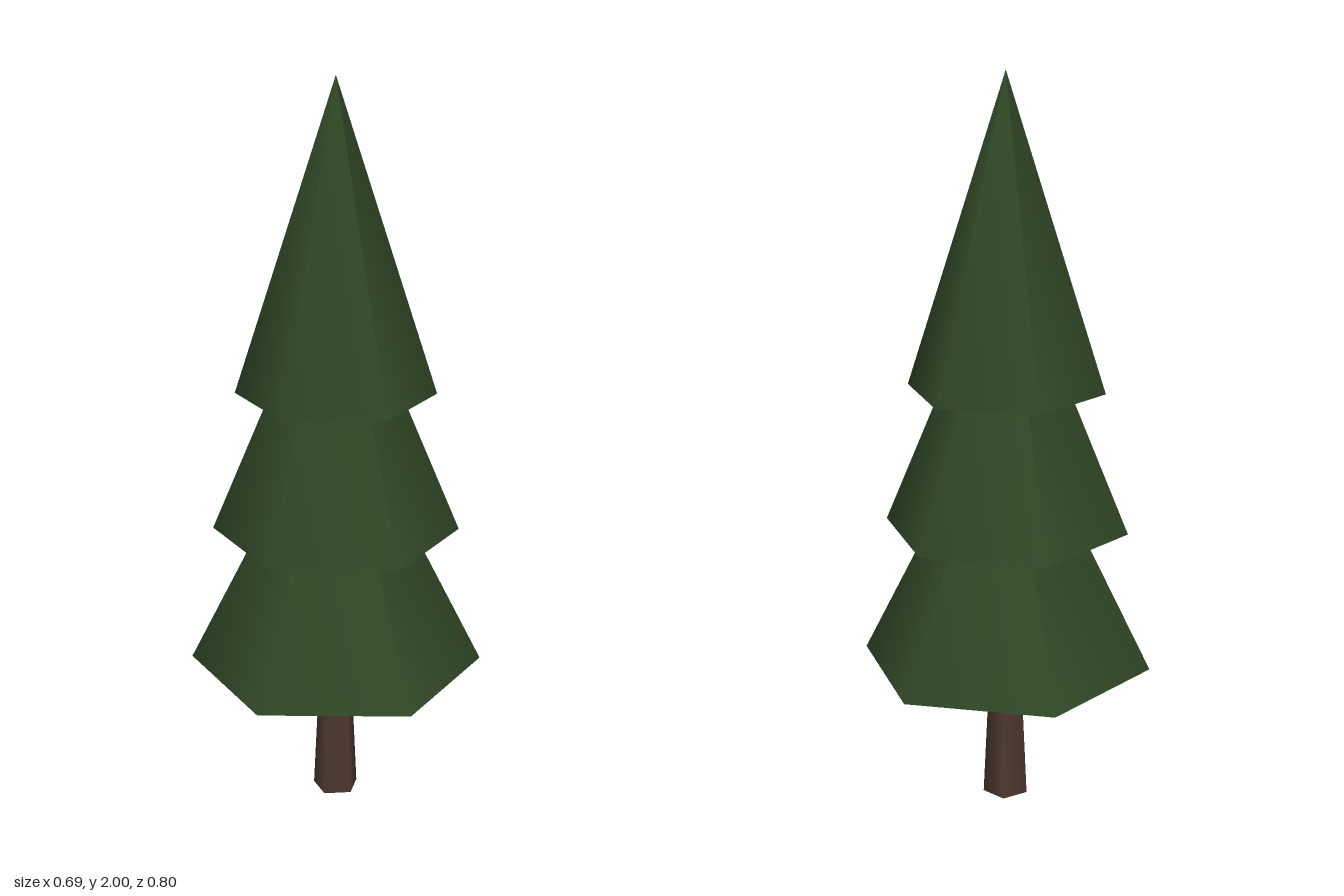
import * as THREE from 'three';

export function createModel() {
  const tree = new THREE.Group();
  tree.name = 'pineTree';

  const needles = new THREE.MeshStandardMaterial({ color: 0x2f4726 });
  needles.name = 'needle green';
  const bark = new THREE.MeshStandardMaterial({ color: 0x4e3830 });
  bark.name = 'bark brown';

  // Places a round part with its base at the given height
  const add = (name, geometry, material, base, height) => {
    const mesh = new THREE.Mesh(geometry, material);
    mesh.name = name;
    mesh.position.y = base + height / 2;
    tree.add(mesh);
  };

  // Five-sided tapering trunk, ending just inside the foliage
  add('trunk', new THREE.CylinderGeometry(0.044, 0.064, 0.41, 5), bark, 0, 0.41);

  // Three overlapping six-sided cones of foliage
  const tiers = [
    ['lowerFoliage', 0.4, 0.402, 0.8],
    ['middleFoliage', 0.333, 0.788, 0.8],
    ['upperFoliage', 0.267, 1.172, 0.828],
  ];
  for (const [name, radius, base, height] of tiers) {
    add(name, new THREE.ConeGeometry(radius, height, 6), needles, base, height);
  }
  return tree;
}
